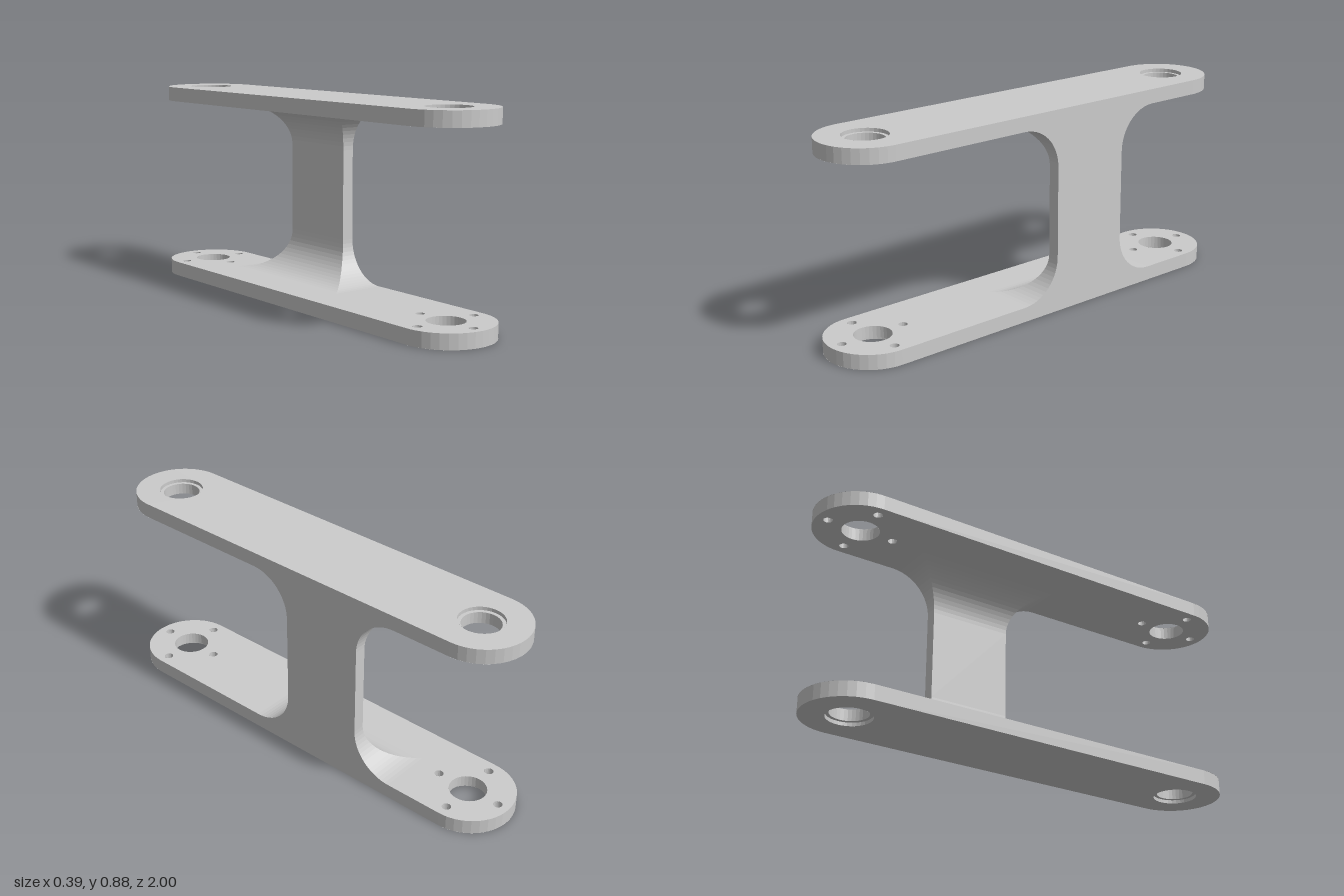
import * as THREE from 'three';

const W = 0.197;          // half width of a plate
const L = 1;              // half length of a plate
const T = 0.063;          // plate thickness
const H = 0.875;          // total height
const HOLE_Z = L - W;     // bore centre
const BORE = 0.078, RECESS = 0.093, RECESS_DEPTH = 0.015;
const PIN = 0.019, PIN_RING = 0.146, PIN_DEPTH = 0.045;

const mat = new THREE.MeshStandardMaterial({ color: 0xcccccc, flatShading: true, side: THREE.DoubleSide });

function add(group, name, geometry, x = 0, y = 0, z = 0) {
  const mesh = new THREE.Mesh(geometry, mat);
  mesh.name = name;
  mesh.position.set(x, y, z);
  group.add(mesh);
  return mesh;
}

// open tube standing between two heights
function wall(group, name, r, y0, y1, x, z, segments = 32) {
  add(group, name, new THREE.CylinderGeometry(r, r, y1 - y0, segments, 1, true), x, (y0 + y1) / 2, z);
}

// four screw holes around each bore
function pinCentres(cz) {
  return [0, 1, 2, 3].map(i => {
    const a = i * Math.PI / 2;
    return [PIN_RING * Math.cos(a), cz + PIN_RING * Math.sin(a)];
  });
}

// rounded-end face; shape y becomes z
function faceGeometry(holes, up) {
  const s = new THREE.Shape();
  s.absarc(0, HOLE_Z, W, 0, Math.PI, false);
  s.absarc(0, -HOLE_Z, W, Math.PI, Math.PI * 2, false);
  s.closePath();
  for (const [x, z, r] of holes) s.holes.push(new THREE.Path().absarc(x, z, r, 0, Math.PI * 2, true));
  return new THREE.ShapeGeometry(s, 18).rotateX(up ? -Math.PI / 2 : Math.PI / 2);
}

// plate with its recessed outer face at y = 0 and its inner face at y = T
function makePlate(name) {
  const g = new THREE.Group();
  g.name = name;
  const ends = [HOLE_Z, -HOLE_Z];
  add(g, 'outerFace', faceGeometry(ends.map(z => [0, z, RECESS]), false));
  add(g, 'innerFace', faceGeometry(ends.flatMap(z =>
    [[0, z, BORE], ...pinCentres(z).map(([x, pz]) => [x, pz, PIN])]), true), 0, T, 0);

  for (const side of [1, -1]) {
    // straight edge and rounded end
    add(g, 'straightEdge', new THREE.PlaneGeometry(2 * HOLE_Z, T).rotateY(side * Math.PI / 2), side * W, T / 2, 0);
    const start = side > 0 ? -Math.PI / 2 : Math.PI / 2;
    add(g, 'roundedEnd', new THREE.CylinderGeometry(W, W, T, 18, 1, true, start, Math.PI), 0, T / 2, side * HOLE_Z);

    // stepped bore
    const z = side * HOLE_Z;
    wall(g, 'recessWall', RECESS, 0, RECESS_DEPTH, 0, z);
    add(g, 'recessLedge', new THREE.RingGeometry(BORE, RECESS, 32).rotateX(Math.PI / 2), 0, RECESS_DEPTH, z);
    wall(g, 'boreWall', BORE, RECESS_DEPTH, T, 0, z);

    // blind screw holes
    for (const [x, pz] of pinCentres(z)) {
      wall(g, 'screwHoleWall', PIN, T - PIN_DEPTH, T, x, pz, 16);
      add(g, 'screwHoleFloor', new THREE.CircleGeometry(PIN, 16).rotateX(-Math.PI / 2), x, T - PIN_DEPTH, pz);
    }
  }
  return g;
}

// upright web: rectangular sections that flare by a quarter-circle into both plates
function webGeometry() {
  const R = 0.18, X0 = 0.145, BACK = -0.365, FRONT = 0, N = 16;
  const levels = [];
  for (let i = 0; i <= N; i++) {
    const a = i / N * Math.PI / 2;
    levels.push([T + R * (1 - Math.cos(a)), R * (1 - Math.sin(a))]);
  }
  levels.push(...levels.map(([y, d]) => [H - y, d]).reverse());

  const pos = [], idx = [];
  for (const [y, d] of levels) {
    pos.push(W, y, FRONT + d, W, y, BACK - d, X0 - d, y, BACK - d, X0 - d, y, FRONT + d);
  }
  for (let i = 0; i < levels.length - 1; i++) {
    for (let k = 0; k < 4; k++) {
      const a = i * 4 + k, b = i * 4 + (k + 1) % 4;
      idx.push(a, b, b + 4, a, b + 4, a + 4);
    }
  }
  const geo = new THREE.BufferGeometry();
  geo.setAttribute('position', new THREE.Float32BufferAttribute(pos, 3));
  geo.setIndex(idx);
  const flat = geo.toNonIndexed();
  flat.computeVertexNormals();
  return flat;
}

export function createModel() {
  const model = new THREE.Group();
  model.name = 'bracket';

  model.add(makePlate('bottomPlate'));

  const top = makePlate('topPlate');
  top.rotation.z = Math.PI;
  top.position.y = H;
  model.add(top);

  add(model, 'web', webGeometry());
  return model;
}
